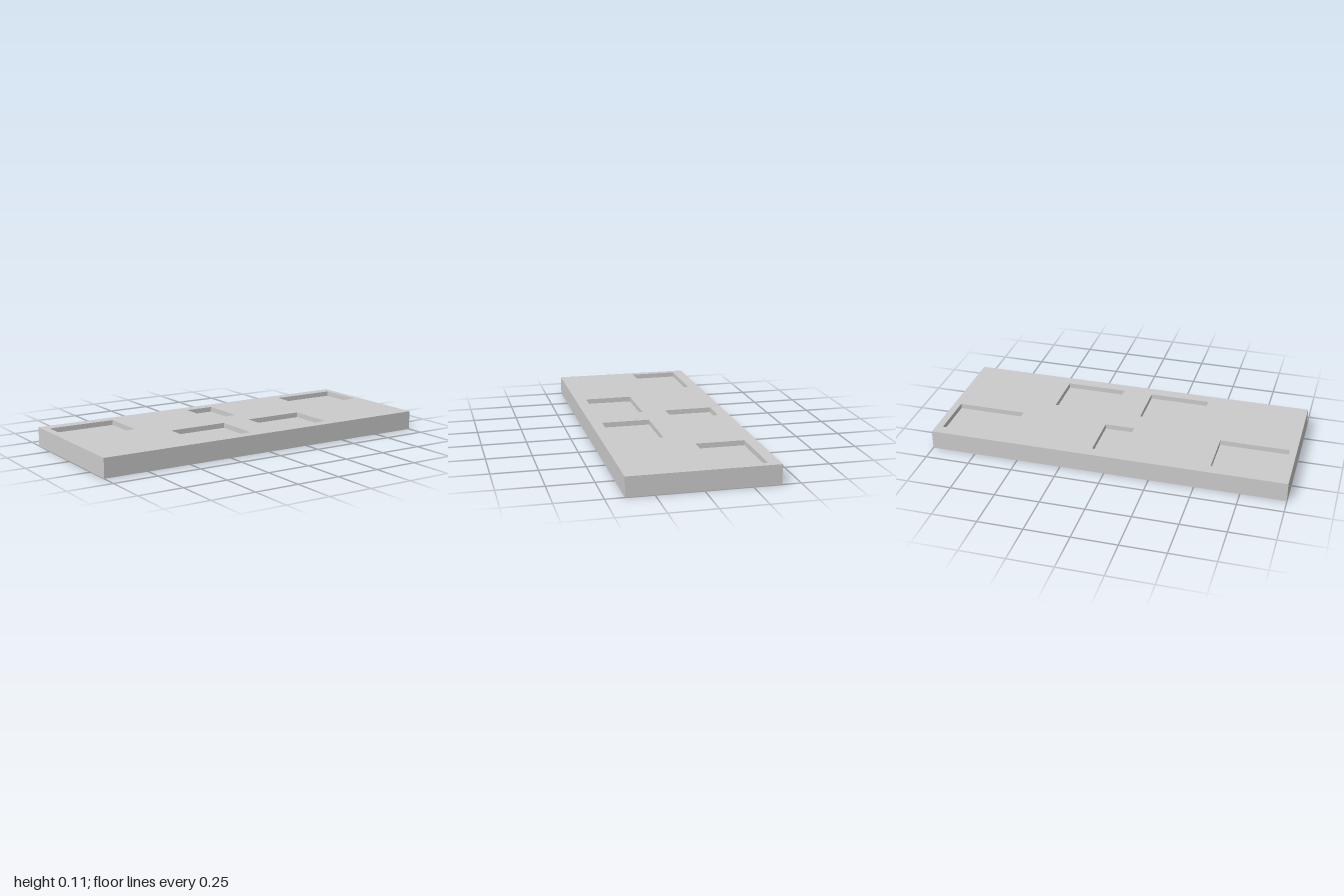
import * as THREE from 'three';

const WIDTH = 2, DEPTH = 0.8, HEIGHT = 0.107, POCKET = 0.028;

// Pockets as [name, x, z, width]; all share one length in z
const POCKET_LENGTH = 0.268;
const POCKETS = [
  ['backRightPocket', -0.768, -0.202, 0.385],
  ['backMiddlePocket', 0, -0.202, 0.166],
  ['backLeftPocket', 0.768, -0.202, 0.385],
  ['frontRightPocket', -0.254, 0.202, 0.342],
  ['frontLeftPocket', 0.254, 0.202, 0.342],
];

// Box without its top face
function openBox(w, h, d) {
  const geometry = new THREE.BoxGeometry(w, h, d);
  const index = Array.from(geometry.index.array);
  index.splice(12, 6);
  geometry.setIndex(index);
  geometry.clearGroups();
  return geometry;
}

// Rectangle outline centred on x, z, drawn in the plane that is later laid flat
function rectangle(target, x, z, w, d) {
  const a = w / 2, b = d / 2;
  target.setFromPoints([[-a, -b], [a, -b], [a, b], [-a, b]].map(([u, v]) => new THREE.Vector2(x + u, -z + v)));
  return target;
}

export function createModel() {
  const group = new THREE.Group();
  const material = new THREE.MeshStandardMaterial({ color: 0xcccccc });
  const add = (name, geometry, x, y, z) => {
    const mesh = new THREE.Mesh(geometry, material);
    mesh.name = name;
    mesh.position.set(x, y, z);
    group.add(mesh);
  };

  // Outer sides and underside
  add('slabBody', openBox(WIDTH, HEIGHT, DEPTH), 0, HEIGHT / 2, 0);

  // Top surface, cut open above each pocket
  const top = rectangle(new THREE.Shape(), 0, 0, WIDTH, DEPTH);
  for (const [, x, z, w] of POCKETS) top.holes.push(rectangle(new THREE.Path(), x, z, w, POCKET_LENGTH));
  add('topSurface', new THREE.ShapeGeometry(top).rotateX(-Math.PI / 2), 0, HEIGHT, 0);

  // Recessed pockets: open boxes turned inside out by mirroring
  for (const [name, x, z, w] of POCKETS) {
    const geometry = openBox(w, POCKET, POCKET_LENGTH).scale(1, 1, -1);
    geometry.computeVertexNormals();
    add(name, geometry, x, HEIGHT - POCKET / 2, z);
  }
  return group;
}
